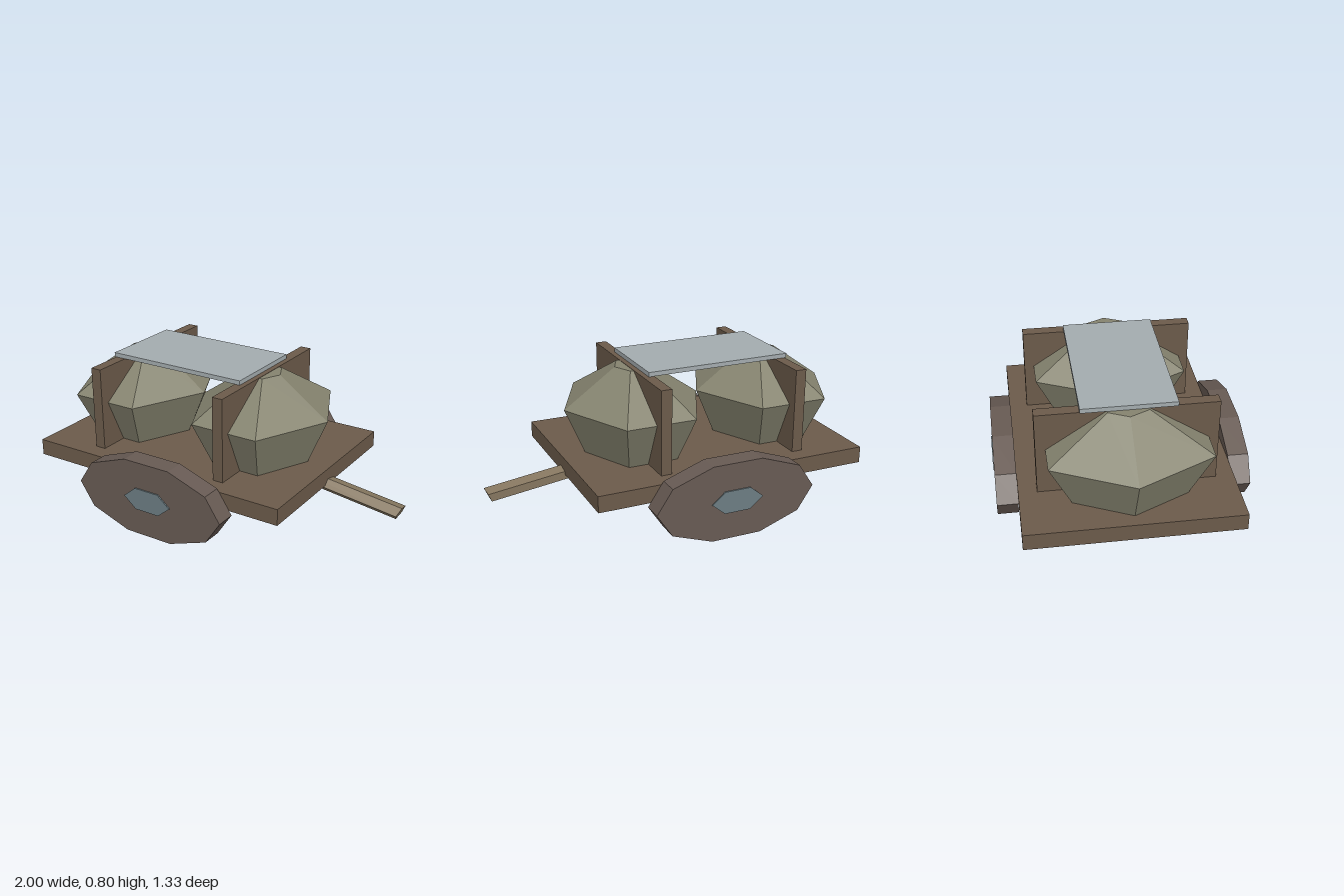
import * as THREE from 'three';

const mat = (color) => new THREE.MeshStandardMaterial({ color, flatShading: true });

export function createModel() {
  const cart = new THREE.Group();
  cart.name = 'cart';
  const wood = mat(0x6b5a4a), wheelWood = mat(0x675a53), paleWood = mat(0x85765f);
  const sackCloth = mat(0x85836f), slate = mat(0xa3abae), iron = mat(0x6c7d83);

  function add(name, geometry, material, x = 0, y = 0, z = 0) {
    const mesh = new THREE.Mesh(geometry, material);
    mesh.name = name;
    mesh.position.set(x, y, z);
    cart.add(mesh);
    return mesh;
  }

  // Flat bed
  add('bed', new THREE.BoxGeometry(1.53, 0.09, 1.1), wood, -0.195, 0.275, 0);

  // Oval ten-sided wheels with six-sided hubs, corners on the x axis
  const disc = (rx, ry, depth, sides) =>
    new THREE.CylinderGeometry(1, 1, depth, sides, 1, false, Math.PI / 2)
      .rotateX(Math.PI / 2).scale(rx, ry, 1);
  for (const side of [1, -1]) {
    const label = side > 0 ? 'front' : 'back';
    add(label + 'Wheel', disc(0.448, 0.219, 0.11, 10), wheelWood, -0.143, 0.209, side * 0.605);
    add(label + 'Hub', disc(0.145, 0.07, 0.122, 6), iron, -0.143, 0.209, side * 0.606);
  }

  // Faceted sacks, each with an upright board through it
  const profile = [[0, 0], [0.277, 0], [0.386, 0.255], [0.097, 0.458], [0, 0.458]]
    .map(([r, y]) => new THREE.Vector2(r, y));
  const sack = new THREE.LatheGeometry(profile, 6, Math.PI / 2).scale(1, 1, 1.213);
  [[-0.614, -0.615], [0.16, 0.16]].forEach(([sackX, boardX], i) => {
    add('sack' + (i + 1), sack, sackCloth, sackX, 0.32, 0);
    add('board' + (i + 1), new THREE.BoxGeometry(0.06, 0.46, 0.91), wood, boardX, 0.55, 0);
  });

  // Thin slab resting on the boards
  add('topSlab', new THREE.BoxGeometry(0.815, 0.024, 0.48), slate, -0.247, 0.792, 0.005);

  // Five-sided pole sloping down from the bed, its end cut on a slant
  const pole = new THREE.CylinderGeometry(0.055, 0.055, 0.83, 5)
    .rotateZ(-Math.PI / 2).scale(1, 0.66, 1)
    .applyMatrix4(new THREE.Matrix4().set(
      1, 0.43, 0, 0,
      -0.13, 1, 0, 0,
      0, 0, 1, 0,
      0, 0, 0, 1));
  add('pole', pole, paleWood, 0.567, 0.224, 0);

  return cart;
}
